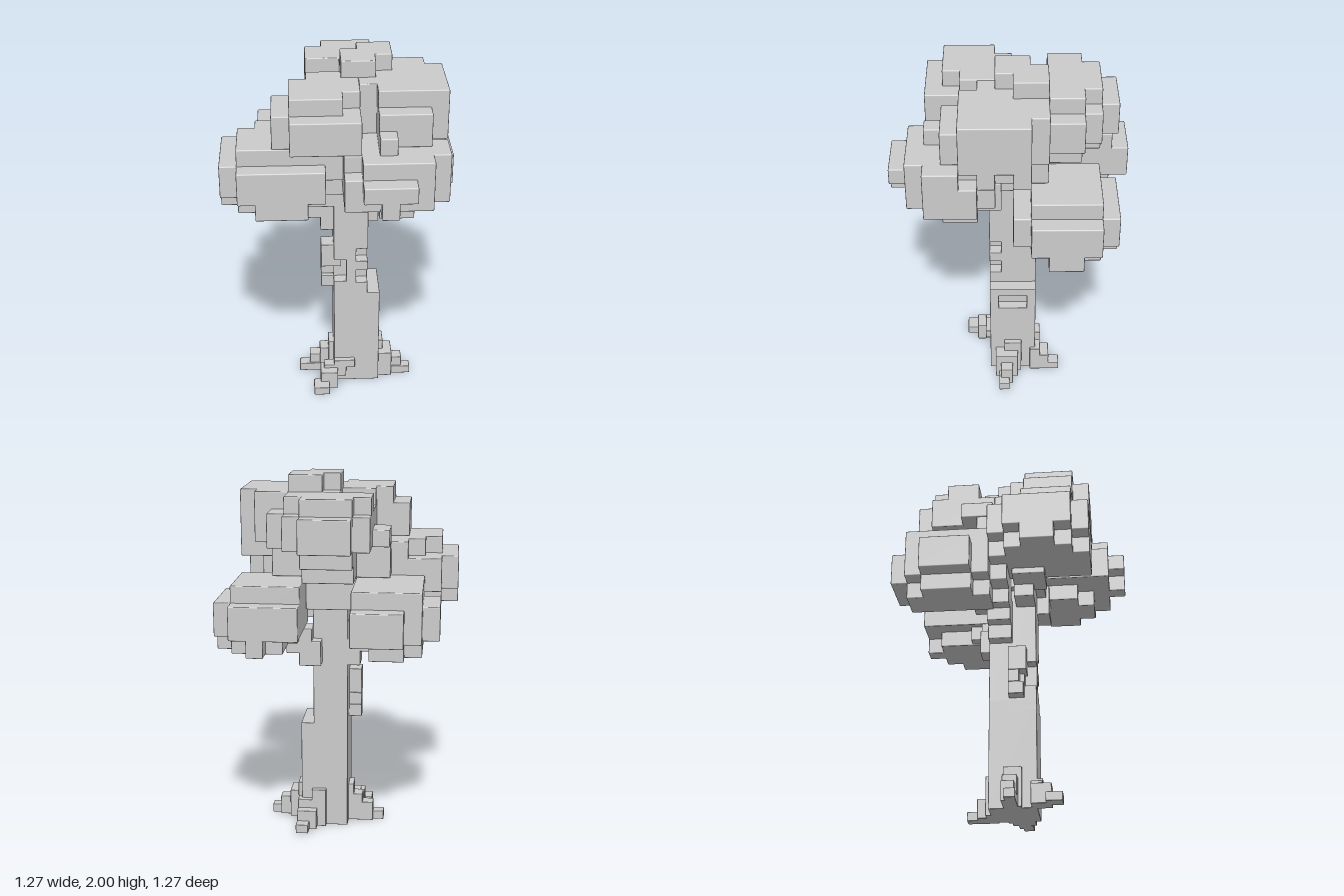
import * as THREE from 'three';
import { RoundedBoxGeometry } from 'three/addons/geometries/RoundedBoxGeometry.js';

const U = 1 / 11; // leaf block size
const material = new THREE.MeshStandardMaterial({ color: 0xcccccc });

// Named group of bevelled blocks, each given as [x0, x1, y0, y1, z0, z1]
function blocks(name, boxes, unit = 1, bevel = 0.006) {
  const group = new THREE.Group();
  group.name = name;
  boxes.forEach(([x0, x1, y0, y1, z0, z1], i) => {
    const geometry = new RoundedBoxGeometry((x1 - x0) * unit, (y1 - y0) * unit, (z1 - z0) * unit, 1, bevel);
    const mesh = new THREE.Mesh(geometry, material);
    mesh.name = `${name}Block${i + 1}`;
    mesh.position.set((x0 + x1) / 2, (y0 + y1) / 2, (z0 + z1) / 2).multiplyScalar(unit);
    group.add(mesh);
  });
  return group;
}

export function createModel() {
  const tree = new THREE.Group();
  tree.name = 'tree';

  // Lower trunk, with a square hollow in its +x side
  tree.add(blocks('lowerTrunk', [
    [-0.04, 0.165, 0, 0.61, -0.13, 0.13],
    [0.15, 0.22, 0, 0.47, -0.13, 0.13],
    [0.15, 0.22, 0.56, 0.61, -0.13, 0.13],
    [0.15, 0.22, 0.46, 0.57, 0.08, 0.13],
    [0.15, 0.22, 0.46, 0.57, -0.13, -0.08],
  ], 1, 0.003));

  // Upper trunk, with notches down the front corners and knots on the left
  tree.add(blocks('upperTrunk', [
    [-0.04, 0.15, 0.55, 1.4, -0.13, 0.065],
    [0.03, 0.085, 0.55, 1.4, 0, 0.13],
    [-0.04, 0.085, 0.55, 0.69, 0, 0.13],
    [-0.04, 0.085, 0.83, 1.4, 0, 0.13],
    [0.03, 0.15, 0.55, 0.68, 0, 0.13],
    [0.03, 0.15, 0.76, 0.82, 0, 0.13],
    [0.03, 0.15, 0.9, 1.4, 0, 0.13],
    [-0.11, 0, 0.62, 0.69, -0.02, 0.065],
    [-0.11, 0, 0.69, 0.76, -0.02, 0.04],
    [-0.11, 0, 0.76, 0.9, -0.02, 0.08],
  ], 1, 0.003));

  // Stepped branches
  tree.add(blocks('rightBranch', [
    [0.1, 0.22, 0.96, 1.1, -0.2, -0.07],
    [0.15, 0.29, 1.03, 1.17, -0.2, -0.07],
    [0.22, 0.36, 1.1, 1.25, -0.27, -0.07],
  ]));
  tree.add(blocks('leftBranch', [
    [-0.11, 0, 0.95, 1.1, -0.13, 0],
    [-0.18, -0.04, 1.03, 1.2, -0.13, 0],
    [-0.25, -0.1, 1.1, 1.25, -0.2, 0],
  ]));
  tree.add(blocks('frontBranch', [
    [-0.18, 0, 1.17, 1.35, 0.02, 0.13],
    [-0.31, -0.1, 1.24, 1.35, 0.02, 0.2],
    [0.06, 0.22, 1.17, 1.35, 0.06, 0.2],
  ]));

  // Roots step down outwards
  tree.add(blocks('rightRoot', [
    [0.2, 0.25, 0, 0.22, -0.05, 0.05],
    [0.2, 0.3, 0, 0.16, -0.03, 0.1],
    [0.2, 0.36, 0, 0.11, 0, 0.07],
    [0.3, 0.41, 0, 0.05, 0.02, 0.08],
  ], 1, 0.004));
  tree.add(blocks('leftRoot', [
    [-0.07, 0, 0, 0.22, -0.05, 0.05],
    [-0.12, 0, 0, 0.16, -0.05, 0.03],
    [-0.18, 0, 0, 0.11, -0.05, 0.02],
    [-0.24, -0.1, 0, 0.05, -0.03, 0.03],
  ], 1, 0.004));
  tree.add(blocks('frontRoot', [
    [-0.04, 0.08, 0.11, 0.16, 0.1, 0.16],
    [-0.1, 0.03, 0.05, 0.13, 0.1, 0.16],
    [-0.12, -0.02, 0, 0.11, 0.1, 0.21],
    [-0.16, -0.07, 0, 0.05, 0.18, 0.27],
  ], 1, 0.004));
  tree.add(blocks('backRoot', [
    [0.08, 0.16, 0, 0.22, -0.16, -0.1],
    [0.1, 0.24, 0, 0.16, -0.16, -0.1],
    [0.13, 0.24, 0, 0.11, -0.21, -0.1],
    [0.17, 0.24, 0, 0.05, -0.27, -0.18],
  ], 1, 0.004));

  // Lower ring of leaf clusters: wide middle, smaller bottom layer
  tree.add(blocks('frontLeftLeaves', [
    [-6, -1, 15, 17, -1, 5],
    [-7, -2, 15, 17, 0, 4],
    [-6, -1, 15, 18, 1, 4],
    [-5, -1, 15, 18, 0, 4],
    [-4, -1, 16, 18, -1, 4],
    [-7, -2, 14, 16, 1, 3],
    [-6, -2, 14, 16, 0, 4],
    [-5, -2, 14, 16, -1, 5],
  ], U));
  tree.add(blocks('frontRightLeaves', [
    [0, 5, 15, 17, 1, 6],
    [1, 6, 15, 17, 2, 5],
    [1, 4, 16, 17, 5, 7],
    [2, 3, 15, 17, 5, 7],
    [1, 5, 16, 18, 2, 6],
    [0, 5, 16, 18, 2, 5],
    [4, 6, 16, 18, 3, 5],
    [2, 3, 17, 19, 3, 5],
    [1, 5, 14, 16, 2, 4],
    [2, 4, 14, 16, 2, 5],
  ], U));
  tree.add(blocks('backRightLeaves', [
    [2, 6, 13, 15, -6, -1],
    [3, 7, 13, 15, -5, -1],
    [3, 7, 12, 15, -4, -2],
    [3, 6, 13, 15, -4, 0],
    [2, 6, 14, 16, -5, -1],
    [3, 6, 12, 14, -5, -2],
    [4, 5, 12, 14, -6, -1],
  ], U));
  tree.add(blocks('backLeftLeaves', [
    [-5, -1, 13, 16, -6, -1],
    [-6, -2, 13, 15, -5, -2],
    [-4, -1, 13, 15, -7, -2],
    [-4, -1, 13, 15, -4, 0],
    [-5, -2, 12, 14, -5, -2],
    [-4, -2, 12, 14, -6, -1],
  ], U));

  // Branch wood and leaves joining the two levels
  tree.add(blocks('crownCore', [
    [-1, 2, 14, 18, -2, 2],
    [-1, 2, 16, 18, -4, -1],
    [-3, -1, 16, 18, -2, 0],
    [1, 4, 16, 18, -2, 2],
    [-2, 1, 16, 18, 1, 4],
  ], U));

  // Upper leaf clusters
  tree.add(blocks('upperLeftLeaves', [
    [-3, 1, 18, 20, 1, 5],
    [-4, 0, 18, 20, 1, 4],
    [-2, 1, 18, 20, -1, 3],
    [-3, 0, 18, 21, 1, 4],
    [-2, 1, 18, 21, 0, 3],
  ], U));
  tree.add(blocks('upperRightLeaves', [
    [2, 5, 18, 20, -2, 4],
    [2, 6, 18, 21, -1, 3],
    [2, 5, 19, 21, -2, 3],
    [3, 6, 17, 19, -1, 0],
    [3, 6, 17, 19, 1, 2],
    [1, 4, 17, 21, -2, 2],
    [0, 3, 18, 21, -2, 1],
  ], U));
  tree.add(blocks('upperBackLeaves', [
    [-2, 3, 18, 20, -5, -1],
    [-1, 2, 18, 20, -6, -2],
    [-3, 0, 18, 19, -3, -1],
    [2, 4, 18, 20, -4, -2],
    [-1, 2, 17, 21, -5, -2],
    [-2, 3, 19, 21, -4, -2],
  ], U));
  tree.add(blocks('treetop', [
    [0, 2, 20.5, 22, -1, 1],
    [1, 3, 20.5, 22, -2, 0],
  ], U));

  return tree;
}
